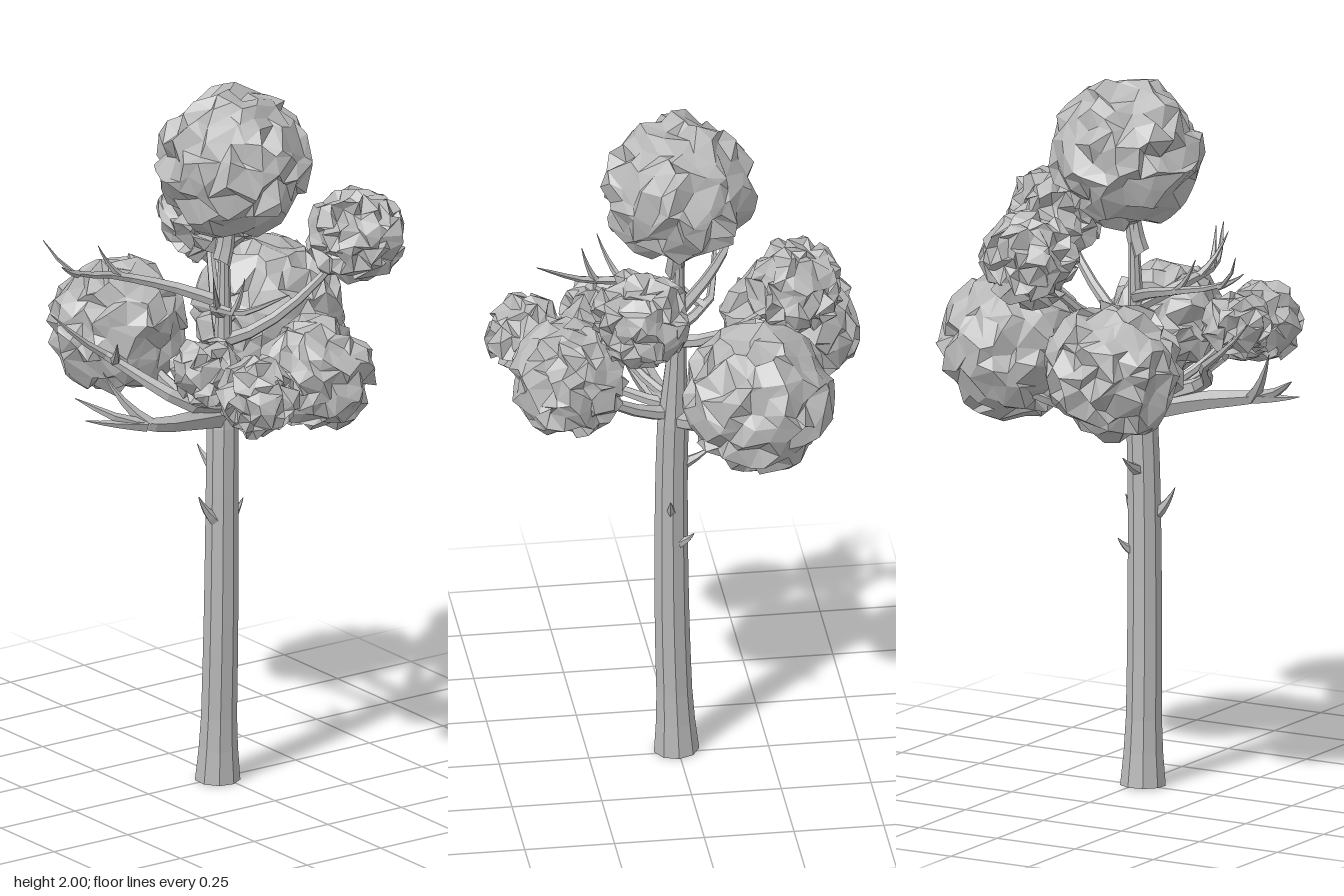
import * as THREE from 'three';

const grey = new THREE.MeshStandardMaterial({ color: 0xb8b8b8, flatShading: true });
grey.name = 'plain grey';

const vec = (x, y, z) => new THREE.Vector3(x, y, z);

// seeded random numbers
function makeRandom(seed) {
  return () => {
    seed = (seed * 16807) % 2147483647;
    return seed / 2147483647;
  };
}

// faceted, spiky ball of leaves
function foliage(center, r, index) {
  const random = makeRandom(1234 + index * 977);
  const geo = new THREE.IcosahedronGeometry(r, r > 0.12 ? 4 : 3);
  const pos = geo.attributes.position;
  const moved = new Map();
  const v = vec(0, 0, 0);
  for (let i = 0; i < pos.count; i++) {
    v.fromBufferAttribute(pos, i);
    const key = v.toArray().map((c) => Math.round(c * 1e4)).join();
    if (!moved.has(key)) {
      const shift = vec(random() - 0.5, random() - 0.5, random() - 0.5).multiplyScalar(0.032 + r * 0.06);
      const p = v.clone().multiplyScalar(1 + (random() - 0.62) * 0.034 / r).add(shift);
      moved.set(key, p.clampLength(0, r + 0.012));
    }
    const p = moved.get(key);
    pos.setXYZ(i, p.x, p.y, p.z);
  }
  geo.computeVertexNormals();
  const mesh = new THREE.Mesh(geo, grey);
  mesh.position.copy(center);
  mesh.name = 'foliage' + index;
  return mesh;
}

// limb along a curve, its radius given by a rule from 0 (root) to 1 (tip)
function limb(curve, radiusAt, sides, segments, name) {
  const geo = new THREE.TubeGeometry(curve, segments, 1, sides);
  const pos = geo.attributes.position;
  const v = vec(0, 0, 0);
  for (let n = 0; n < pos.count; n++) {
    const u = Math.floor(n / (sides + 1)) / segments;
    const c = curve.getPointAt(u);
    v.fromBufferAttribute(pos, n).sub(c).multiplyScalar(radiusAt(u)).add(c);
    pos.setXYZ(n, v.x, v.y, v.z);
  }
  geo.computeVertexNormals();
  const mesh = new THREE.Mesh(geo, grey);
  mesh.name = name;
  return mesh;
}

// pointed twig that leaves sideways and curls upward
function twig(start, reach, r, name) {
  const elbow = start.clone().add(vec(reach.x * 0.6, reach.y * 0.35, reach.z * 0.6));
  const curve = new THREE.QuadraticBezierCurve3(start, elbow, start.clone().add(reach));
  return limb(curve, (u) => r * (1 - u) + 0.001, 5, 4, name);
}

// leafless branch with forks, each given as [position along it, reach]
function bareBranch(points, r, forks, name) {
  const group = new THREE.Group();
  group.name = name;
  const curve = new THREE.CatmullRomCurve3(points);
  group.add(limb(curve, (u) => r * (1 - u) ** 0.7 + 0.001, 5, 9, 'bough'));
  for (const [t, reach] of forks) {
    group.add(twig(curve.getPointAt(t), reach, r * 0.6, 'twig'));
  }
  return group;
}

export function createModel() {
  const tree = new THREE.Group();
  tree.name = 'tree';

  // trunk with flared foot, thinning into the leader
  const trunkCurve = new THREE.CatmullRomCurve3([
    vec(-0.02, 0, 0.005), vec(-0.018, 0.45, 0.018), vec(-0.013, 0.95, 0.018),
    vec(0, 1.3, 0.005), vec(0.01, 1.68, 0),
  ]);
  const trunkRadius = (u) => (u < 0.64
    ? 0.052 - 0.012 * u + 0.012 * Math.max(0, 1 - u * 12)
    : 0.044 - 0.034 * ((u - 0.64) / 0.36) ** 0.6);
  tree.add(limb(trunkCurve, trunkRadius, 9, 18, 'trunk'));
  const foot = new THREE.Mesh(new THREE.CircleGeometry(0.064, 9), grey);
  foot.rotation.x = Math.PI / 2;
  foot.position.set(-0.02, 0.001, 0.005);
  foot.name = 'trunkBase';
  tree.add(foot);

  // broken stubs on the trunk
  tree.add(twig(vec(-0.04, 0.76, 0.03), vec(-0.065, 0.085, 0.005), 0.02, 'leftStub'));
  tree.add(twig(vec(0.005, 0.75, 0.02), vec(0.045, 0.06, 0.01), 0.018, 'rightStub'));
  tree.add(twig(vec(-0.015, 0.89, 0), vec(0, 0.055, -0.097), 0.02, 'backStub'));
  tree.add(twig(vec(0.01, 0.66, 0), vec(0.025, 0.04, -0.038), 0.016, 'lowStub'));

  // bare branches
  tree.add(bareBranch(
    [vec(-0.02, 1.06, 0.02), vec(-0.17, 1.09, 0.08), vec(-0.3, 1.11, 0.1), vec(-0.4, 1.14, 0.07), vec(-0.5, 1.2, 0)],
    0.034, [[0.58, vec(-0.1, 0.15, -0.08)], [0.6, vec(-0.17, 0.03, -0.05)]], 'lowBareBranch'));
  tree.add(bareBranch(
    [vec(-0.02, 1.09, 0.03), vec(-0.17, 1.14, 0.07), vec(-0.3, 1.25, -0.13), vec(-0.38, 1.31, -0.15), vec(-0.46, 1.39, -0.17)],
    0.025, [[0.62, vec(-0.05, 0.08, 0.08)]], 'middleBareBranch'));
  tree.add(bareBranch(
    [vec(0, 1.38, 0), vec(-0.1, 1.42, -0.09), vec(-0.24, 1.46, -0.17), vec(-0.39, 1.5, -0.175), vec(-0.45, 1.59, -0.22)],
    0.018, [[0.5, vec(-0.07, 0.1, -0.01)], [0.75, vec(-0.07, 0.04, 0.02)]], 'highBareBranch'));
  tree.add(bareBranch(
    [vec(0, 1.35, 0), vec(-0.11, 1.42, 0.12), vec(-0.11, 1.44, 0.25), vec(-0.05, 1.52, 0.39)],
    0.018, [[0.42, vec(-0.06, 0.12, 0.06)], [0.57, vec(0.01, 0.11, 0.04)]], 'frontBareBranch'));
  tree.add(bareBranch(
    [vec(0, 1.05, 0), vec(0.13, 1.1, -0.19), vec(0.3, 1.22, -0.37)],
    0.026, [], 'backBareBranch'));

  // leaf balls: centre, radius, height where the carrying branch leaves the trunk
  const crowns = [
    [vec(0.035, 1.785, 0.005), 0.208, 1.5],
    [vec(-0.12, 1.25, -0.325), 0.188, 1.05],
    [vec(0.283, 1.25, -0.18), 0.205, 1.04],
    [vec(0.165, 1.525, -0.3), 0.13, 1.28],
    [vec(0.345, 1.555, 0.155), 0.132, 1.27],
    [vec(0.09, 1.245, 0.32), 0.158, 1.06],
    [vec(-0.17, 1.25, 0.405), 0.108, 1.08],
    [vec(-0.205, 1.28, 0.205), 0.092, 1.1],
  ];
  crowns.forEach(([center, r, height], i) => {
    tree.add(foliage(center, r, i + 1));
    const start = vec(-0.01, height, 0.01);
    const bend = start.clone().lerp(center, 0.5);
    bend.y -= (center.y - height) * 0.4;
    const curve = new THREE.QuadraticBezierCurve3(start, bend, center);
    tree.add(limb(curve, (u) => (0.009 + r * 0.09) * (1 - u * 0.6), 6, 6, 'branch' + (i + 1)));
  });
  return tree;
}
